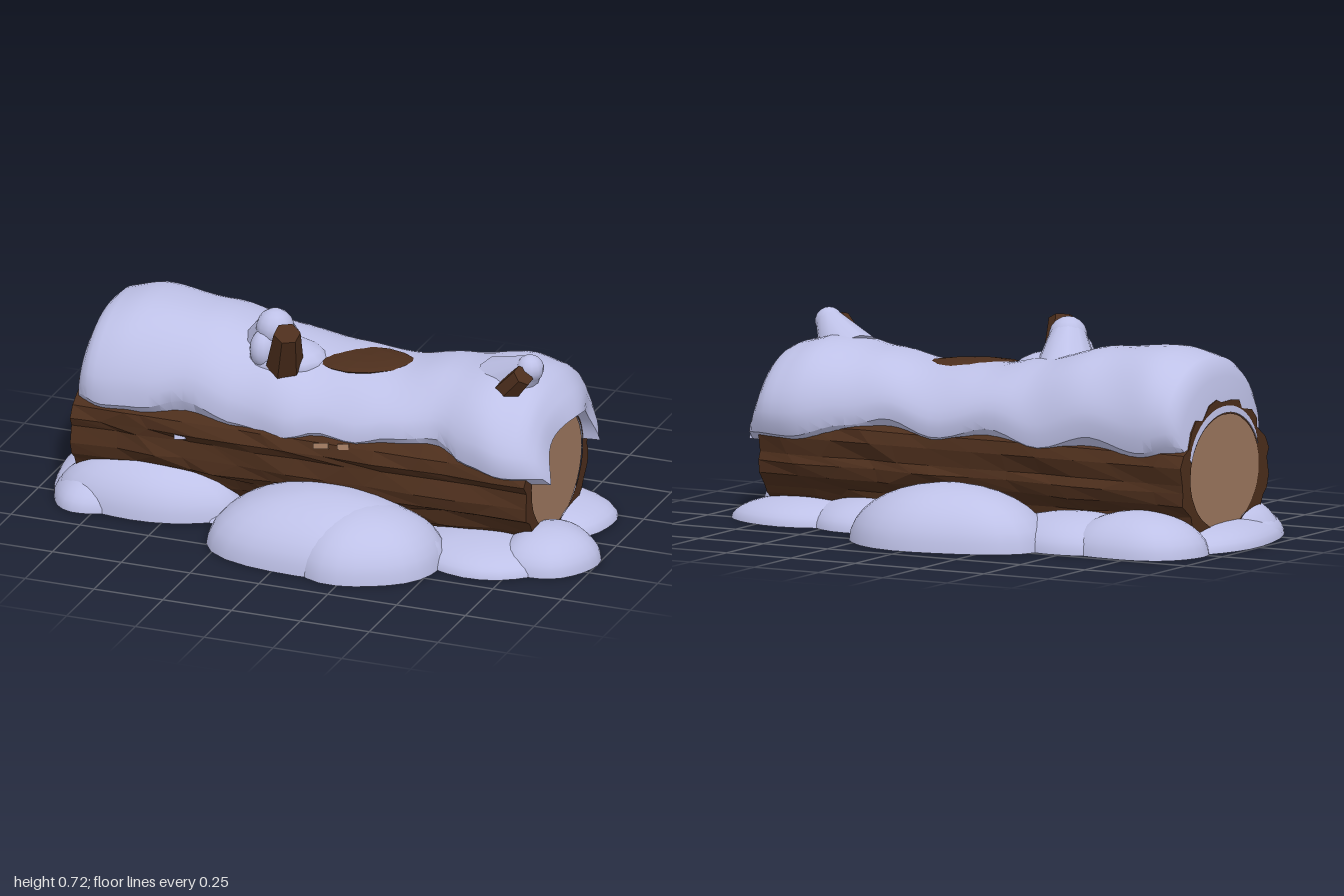
import * as THREE from 'three';
import { toCreasedNormals, mergeVertices } from 'three/addons/utils/BufferGeometryUtils.js';

const V = (x, y, z) => new THREE.Vector3(x, y, z);

// Smooth interpolation through [x, value] pairs
function along(keys, x) {
  if (x <= keys[0][0]) return keys[0][1];
  for (let i = 1; i < keys.length; i++) {
    const [x0, a] = keys[i - 1], [x1, b] = keys[i];
    if (x <= x1) return THREE.MathUtils.lerp(a, b, THREE.MathUtils.smoothstep(x, x0, x1));
  }
  return keys[keys.length - 1][1];
}

// Skin over closed cross-sections ordered along +x
function skin(rows) {
  const n = rows[0].length, index = [];
  for (let r = 0; r < rows.length - 1; r++) {
    for (let c = 0; c < n; c++) {
      const a = r * n + c, b = r * n + (c + 1) % n;
      index.push(a, a + n, b, b, a + n, b + n);
    }
  }
  const geo = new THREE.BufferGeometry().setFromPoints(rows.flat());
  geo.setIndex(index);
  return geo;
}

function flat(geo) {
  const g = geo.index ? geo.toNonIndexed() : geo;
  g.computeVertexNormals();
  return g;
}

export function createModel() {
  let seed = 7;
  const rand = () => (seed = (seed * 16807) % 2147483647) / 2147483647;
  const snow = new THREE.MeshStandardMaterial({ color: 0xc2c5ec });
  const bark = new THREE.MeshStandardMaterial({ color: 0x4c2e1c });
  const wood = new THREE.MeshStandardMaterial({ color: 0x9f7960 });
  const model = new THREE.Group();
  const add = (name, geo, mat) => {
    const mesh = new THREE.Mesh(geo, mat);
    mesh.name = name;
    model.add(mesh);
    return mesh;
  };

  const CY = 0.25, LEFT = -0.865, RIGHT = 0.785;
  const ring = (x, a, ry, rz) => V(x, Math.max(0.012, CY + ry * Math.cos(a)), -rz * Math.sin(a));

  // Log bark: ragged lengthwise ridges, closed by a rim at each end
  const cols = 36, steps = 12, barkRows = [];
  const ridge = Array.from({ length: cols }, () => rand());
  for (let i = -1; i <= steps + 1; i++) {
    const rim = i < 0 || i > steps;
    const t = THREE.MathUtils.clamp(i / steps, 0, 1);
    const end = t === 0 || t === 1;
    const row = [];
    for (let c = 0; c < cols; c++) {
      const x = THREE.MathUtils.lerp(LEFT, RIGHT, t) + (end ? 0 : (rand() - 0.5) * 0.11);
      const k = 0.955 + 0.05 * ridge[c] + (rand() - 0.5) * 0.075 + (c % 3 === 0 ? -0.035 : 0.02);
      const a = (c + (c % 3 === 0 ? 0.35 : 0)) / cols * Math.PI * 2;
      row.push(rim ? ring(x, a, 0.195, 0.233) : ring(x, a, 0.25 * k, 0.295 * k));
    }
    barkRows.push(row);
  }
  add('logBark', flat(skin(barkRows)), bark);

  // Cut wood faces at both ends
  for (const s of [-1, 1]) {
    const face = add(s > 0 ? 'leftCutFace' : 'rightCutFace', new THREE.CircleGeometry(1, 30), wood);
    face.scale.set(0.238, 0.2, 1);
    face.rotation.y = s * Math.PI / 2;
    face.position.set(s > 0 ? RIGHT - 0.003 : LEFT + 0.003, CY - 0.003, 0.006);
  }

  // Snow blanket: thick shell draped over the log, wavy at its lower edges
  const top = [[-0.87, 0.63], [-0.68, 0.668], [-0.45, 0.65], [-0.2, 0.595], [0, 0.562], [0.22, 0.553],
    [0.42, 0.585], [0.62, 0.615], [0.74, 0.59], [0.86, 0.54]];
  const width = [[-0.87, 0.335], [-0.72, 0.35], [-0.4, 0.325], [0.1, 0.325], [0.35, 0.312], [0.65, 0.36], [0.86, 0.35]];
  const frontEdge = [[-0.87, 0.38], [-0.76, 0.34], [-0.62, 0.345], [-0.47, 0.4], [-0.28, 0.335], [-0.1, 0.315],
    [0.02, 0.35], [0.14, 0.335], [0.28, 0.37], [0.45, 0.395], [0.56, 0.325], [0.7, 0.295], [0.84, 0.31]];
  const backEdge = [[-0.87, 0.36], [-0.7, 0.31], [-0.5, 0.36], [-0.3, 0.3], [-0.1, 0.36], [0.1, 0.31],
    [0.3, 0.37], [0.45, 0.33], [0.65, 0.27], [0.84, 0.28]];
  const x0 = -0.868, x1 = 0.85, rowsN = 48, arc = 26, snowRows = [];
  for (let i = 0; i <= rowsN; i++) {
    const u = i / rowsN;
    const x = THREE.MathUtils.lerp(x0, x1, 0.5 - 0.5 * Math.cos(Math.PI * u) * (1 - 0.25 * Math.sin(Math.PI * u)));
    const endL = THREE.MathUtils.clamp((x - x0) / 0.06, 0, 1);
    const endR = THREE.MathUtils.clamp((x1 - x) / 0.13, 0, 1);
    const kx = Math.sqrt((1 - (1 - endL) ** 2) * (1 - (1 - endR) ** 2));
    const H = along(top, x) - CY, W = along(width, x);
    const aF = -Math.acos((along(frontEdge, x) - CY) / H);
    const aB = Math.acos((along(backEdge, x) - CY) / H);
    const outer = [], inner = [];
    for (let c = 0; c <= arc; c++) {
      const t = c / arc, a = THREE.MathUtils.lerp(aF, aB, t), s = Math.sin(a);
      const k = kx * Math.sqrt(Math.max(0, 1 - Math.abs(2 * t - 1) ** 9));
      const lump = 1 + 0.015 * Math.sin(x * 17 + a * 3) + 0.012 * Math.sin(x * 9 - a * 5);
      // The overhang sticks out unevenly past the left end
      const over = Math.max(0, x - 0.76) * (0.18 * Math.sin(a * 4 + 1) - 0.12);
      const out = V(x + over, CY + H * Math.cos(a) * (1 + 0.014 * Math.sin(x * 19 + a * 4) * Math.abs(s)),
        -W * lump * Math.sign(s) * Math.abs(s) ** 0.86 - 0.02 * Math.cos(a));
      const inn = ring(x + over, a, 0.2, 0.238);
      outer.push(inn.clone().lerp(out, k));
      inner.unshift(inn);
    }
    snowRows.push([...outer, ...inner]);
  }
  add('snowBlanket', toCreasedNormals(skin(snowRows), 0.6), snow);

  // Bare bark showing through the top: an oval, blunt at one end and pointed at the other
  const patch = new THREE.SphereGeometry(1, 14, 6);
  const pp = patch.attributes.position;
  for (let i = 0; i < pp.count; i++) {
    const x = pp.getX(i);
    pp.setXYZ(i, x * 0.168, pp.getY(i) * 0.02, pp.getZ(i) * 0.115 * (1 - 0.25 * x * (x + 0.6)) - x * 0.035);
  }
  add('bareBarkPatch', flat(patch), bark).position.set(0.11, 0.546, 0.015);

  // Straight tapered piece between two points
  function limb(name, from, to, r0, r1, sides, mat, faceted) {
    const geo = new THREE.CylinderGeometry(r1, r0, from.distanceTo(to), sides);
    const mesh = add(name, faceted ? flat(geo) : geo, mat);
    mesh.position.copy(from).lerp(to, 0.5);
    mesh.quaternion.setFromUnitVectors(V(0, 1, 0), to.clone().sub(from).normalize());
  }
  limb('tallBranch', V(-0.165, 0.46, 0.11), V(-0.108, 0.692, 0.222), 0.075, 0.046, 6, bark, true);
  limb('shortBranch', V(0.6, 0.5, 0.11), V(0.722, 0.64, 0.15), 0.05, 0.038, 6, bark, true);

  // Snow heaped against the back of each branch, flaring into the blanket
  function drift(name, from, to, r0, r1) {
    limb(name, from, to, r0, r1, 12, snow, false);
    add(name + 'Tip', new THREE.SphereGeometry(r1, 12, 9), snow).position.copy(to);
  }
  function flare(name, x, y, z, rx, ry, rz) {
    const mesh = add(name, new THREE.SphereGeometry(1, 16, 10), snow);
    mesh.position.set(x, y, z);
    mesh.scale.set(rx, ry, rz);
  }
  drift('tallBranchSnow', V(-0.25, 0.5, 0), V(-0.2, 0.655, 0.1), 0.13, 0.065);
  flare('tallBranchSnowFlare', -0.18, 0.535, 0.07, 0.16, 0.07, 0.12);
  flare('tallBranchSnowSide', -0.225, 0.585, 0.13, 0.05, 0.07, 0.065);
  drift('shortBranchSnow', V(0.6, 0.53, 0.02), V(0.72, 0.64, 0.085), 0.11, 0.048);

  // Ground snow: lumpy half domes with flat closed bases
  function mound(name, x, z, rx, rz, h, phase) {
    const profile = [new THREE.Vector2(0, 0)];
    for (let i = 0; i <= 9; i++) {
      const a = i / 9 * Math.PI / 2;
      profile.push(new THREE.Vector2(i === 9 ? 0 : Math.cos(a), Math.sin(a)));
    }
    let geo = new THREE.LatheGeometry(profile, 28);
    geo.deleteAttribute('uv');
    geo.deleteAttribute('normal');
    geo = mergeVertices(geo);
    const p = geo.attributes.position;
    for (let i = 0; i < p.count; i++) {
      const a = Math.atan2(p.getZ(i), p.getX(i));
      const k = 1 + 0.03 * Math.sin(3 * a + phase) + 0.02 * Math.sin(5 * a + phase * 2);
      p.setXYZ(i, p.getX(i) * rx * k, p.getY(i) * h, p.getZ(i) * rz * k);
    }
    add(name, toCreasedNormals(geo, 0.75), snow).position.set(x, 0, z);
  }
  mound('frontMound', 0.09, 0.37, 0.42, 0.28, 0.207, 1);
  mound('frontMoundOuter', 0.25, 0.41, 0.27, 0.255, 0.188, 2.5);
  mound('backMound', -0.04, -0.42, 0.365, 0.262, 0.205, 4);
  mound('frontRightMound', -0.61, 0.2, 0.33, 0.2, 0.178, 0.5);
  mound('frontRightCorner', -0.78, 0.23, 0.165, 0.175, 0.1, 2.2);
  mound('backRightMound', -0.7, -0.29, 0.25, 0.205, 0.14, 3);
  mound('backRightLowMound', -0.45, -0.28, 0.3, 0.21, 0.12, 1.8);
  mound('rightEndMound', -0.82, 0.02, 0.177, 0.32, 0.08, 2);
  mound('backLeftMound', 0.65, -0.17, 0.28, 0.205, 0.085, 5);
  mound('backLeftLowMound', 0.38, -0.19, 0.25, 0.2, 0.1, 0.8);
  mound('leftEndMound', 0.83, 0.18, 0.168, 0.19, 0.118, 1.3);
  mound('frontLeftMound', 0.62, 0.24, 0.28, 0.2, 0.08, 3.6);
  mound('groundSnow', 0, 0, 0.92, 0.36, 0.06, 0);

  // Pale chips of torn bark and specks of clinging snow
  const specks = [[0.04, 0.327, 0.284, 0.055, wood], [0.12, 0.335, 0.282, 0.04, wood],
    [-0.47, 0.285, 0.291, 0.04, snow], [-0.05, 0.3, 0.289, 0.03, snow]];
  for (const [x, y, z, w, mat] of specks) {
    const chip = add(mat === wood ? 'barkChip' : 'snowSpeck', new THREE.BoxGeometry(w, 0.02, 0.009), mat);
    chip.position.set(x, y, z);
    chip.rotation.set(-0.35, 0, 0.15);
  }
  return model;
}
